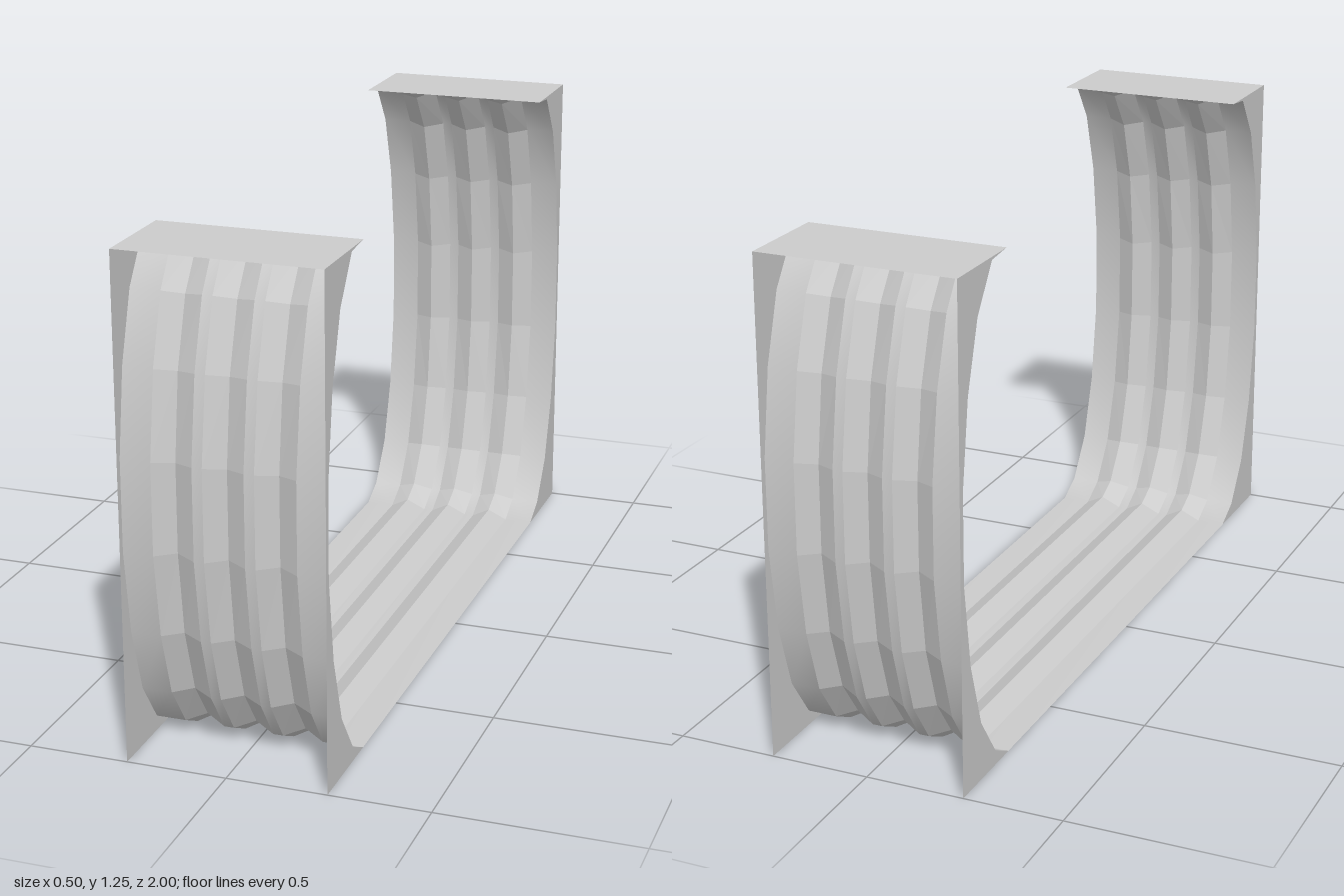
import * as THREE from 'three';

const HALF_W = 0.25, TOP = 1.25, MID = 0.64;
// half of the sweep from the top lip to the floor: [z, y] on the lands and on the rib crests
const landArc = [[0.75, TOP]], crestArc = [[0.745, TOP]];
const landSteps = [[0.823, 0.603], [0.9, 0.494], [0.953, 0.326], [0.983, 0.114]];
const crestSteps = [[0.804, 0.585], [0.877, 0.485], [0.93, 0.32], [0.957, 0.11]];
const addArc = (arc, steps) => {
  steps.forEach(([z, h]) => arc.push([z, MID + h]));
  [...steps].reverse().forEach(([z, h]) => arc.push([z, MID - h]));
};
addArc(landArc, landSteps);
addArc(crestArc, crestSteps);
landArc.push([0.75, 0]);
crestArc.push([0.743, 0.027]);

// full U path: front wall, floor, back wall
const mirrorPath = (arc) => [...arc, ...[...arc].reverse().map(([z, y]) => [-z, y])];
const landPath = mirrorPath(landArc), crestPath = mirrorPath(crestArc);

const smooth = new THREE.MeshStandardMaterial({ color: 0xcccccc, side: THREE.DoubleSide });
const faceted = new THREE.MeshStandardMaterial({ color: 0xcccccc, side: THREE.DoubleSide, flatShading: true });

// a ruled band between two paths, lying at x0 and x1
function band(name, x0, path0, x1, path1, material) {
  const pos = [], index = [];
  path0.forEach(([z, y], i) => {
    pos.push(x0, y, z, x1, path1[i][1], path1[i][0]);
    if (i > 0) {
      const a = 2 * i - 2;
      index.push(a, a + 1, a + 2, a + 1, a + 3, a + 2);
    }
  });
  const geo = new THREE.BufferGeometry();
  geo.setAttribute('position', new THREE.Float32BufferAttribute(pos, 3));
  geo.setIndex(index.map((_, k) => index[k - (k % 3) + [0, 2, 1][k % 3]]));
  geo.computeVertexNormals();
  const mesh = new THREE.Mesh(geo, material);
  mesh.name = name;
  return mesh;
}

export function createModel() {
  const model = new THREE.Group();
  model.name = 'corrugatedChannel';

  // corrugated sheet: flat lands with three raised ribs
  const sheet = new THREE.Group();
  sheet.name = 'corrugatedSheet';
  let x = -HALF_W;
  for (const c of [-0.125, 0, 0.125]) {
    sheet.add(band('land', x, landPath, c - 0.05, landPath, smooth));
    sheet.add(band('ribSide', c - 0.05, landPath, c, crestPath, faceted));
    sheet.add(band('ribSide', c, crestPath, c + 0.05, landPath, faceted));
    x = c + 0.05;
  }
  sheet.add(band('land', x, landPath, HALF_W, landPath, smooth));
  model.add(sheet);

  // end flanges filling the corner outside each curved wall, and top ledges
  for (const s of [1, -1]) {
    const shape = new THREE.Shape([
      ...landArc.map(([z, y]) => new THREE.Vector2(-z * s, y)),
      new THREE.Vector2(-s, 0),
      new THREE.Vector2(-s, TOP),
    ]);
    for (const side of [1, -1]) {
      const flange = new THREE.Mesh(new THREE.ShapeGeometry(shape), faceted);
      flange.name = 'sideFlange';
      flange.rotation.y = Math.PI / 2;
      flange.position.x = side * HALF_W;
      model.add(flange);
    }
    const ledge = new THREE.Mesh(new THREE.PlaneGeometry(2 * HALF_W, 0.255), faceted);
    ledge.name = 'topLedge';
    ledge.rotation.x = -Math.PI / 2;
    ledge.position.set(0, TOP, s * 0.8725);
    model.add(ledge);
  }
  return model;
}
